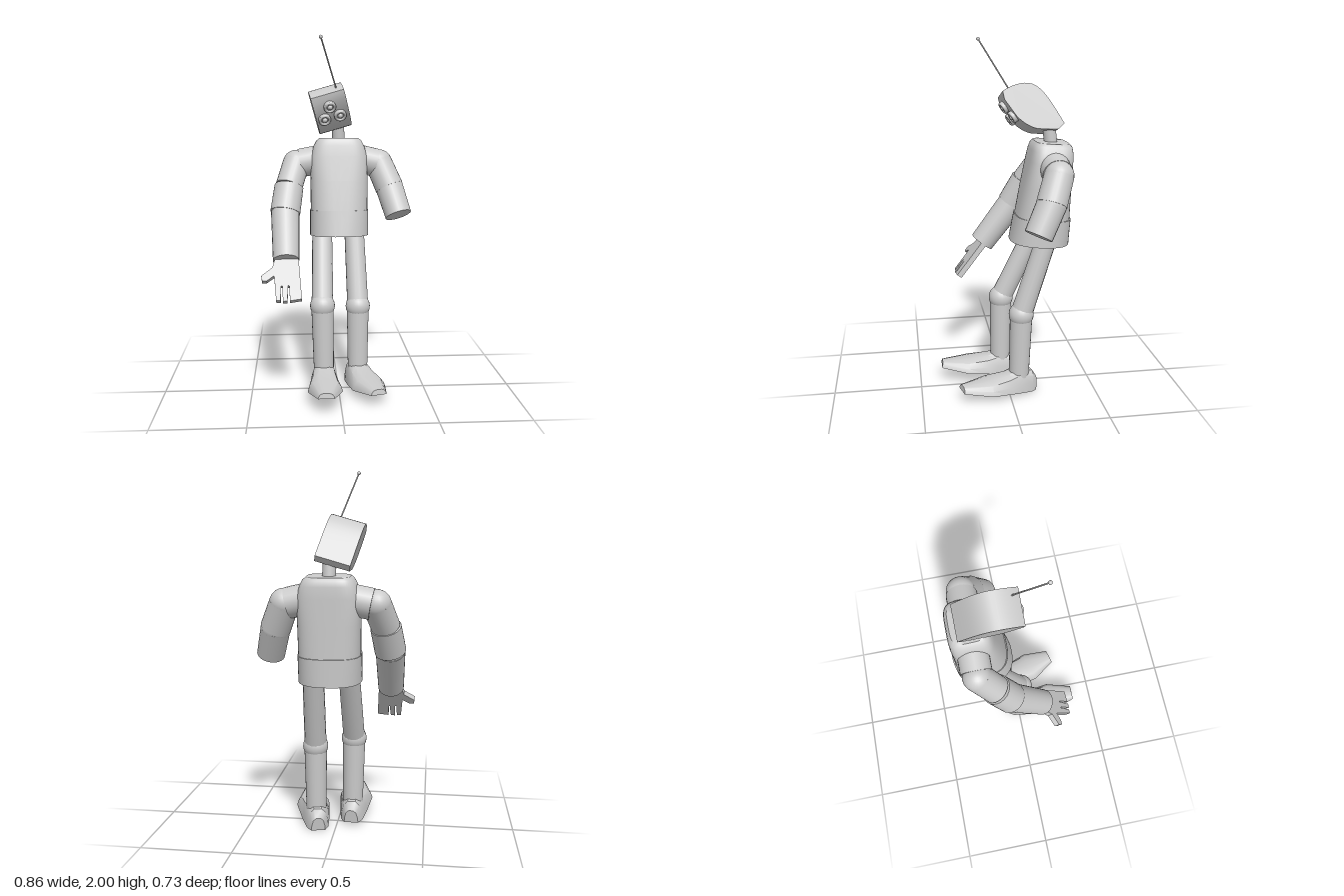
import * as THREE from 'three';
import { toCreasedNormals } from 'three/addons/utils/BufferGeometryUtils.js';

const V = (x, y, z) => new THREE.Vector3(x, y, z);
const material = new THREE.MeshStandardMaterial({ color: 0xcccccc });

function add(parent, name, geometry) {
  const mesh = new THREE.Mesh(geometry, material);
  mesh.name = name;
  parent.add(mesh);
  return mesh;
}

function group(parent, name) {
  const g = new THREE.Group();
  g.name = name;
  parent.add(g);
  return g;
}

// Tapered cylinder running from a to b
function limb(parent, name, a, b, ra, rb = ra, sides = 24) {
  const dir = b.clone().sub(a);
  const mesh = add(parent, name, new THREE.CylinderGeometry(rb, ra, dir.length(), sides));
  mesh.position.copy(a).add(b).multiplyScalar(0.5);
  mesh.quaternion.setFromUnitVectors(V(0, 1, 0), dir.normalize());
  return mesh;
}

function ball(parent, name, at, r) {
  const mesh = add(parent, name, new THREE.SphereGeometry(r, 24, 16));
  mesh.position.copy(at);
  return mesh;
}

// Closed skin over a stack of rings with equal point counts
function loft(rings, crease) {
  const n = rings[0].length, pos = [], index = [];
  rings.forEach(r => r.forEach(p => pos.push(p.x, p.y, p.z)));
  for (let i = 0; i < rings.length - 1; i++) for (let j = 0; j < n; j++) {
    const a = i * n + j, b = i * n + (j + 1) % n;
    index.push(a, a + n, b, b, a + n, b + n);
  }
  [0, rings.length - 1].forEach((ri, end) => {
    const c = rings[ri].reduce((s, p) => s.add(p), V(0, 0, 0)).divideScalar(n);
    const ci = pos.length / 3;
    pos.push(c.x, c.y, c.z);
    for (let j = 0; j < n; j++) {
      const a = ri * n + j, b = ri * n + (j + 1) % n;
      index.push(ci, end ? b : a, end ? a : b);
    }
  });
  const g = new THREE.BufferGeometry();
  g.setAttribute('position', new THREE.Float32BufferAttribute(pos, 3));
  g.setIndex(index);
  return toCreasedNormals(g, crease);
}

// Rounded-rectangle ring; e is the squareness, the ring tips slightly back
function torsoRing([y, zc, hx, hz, e]) {
  const round = v => Math.sign(v) * Math.abs(v) ** (2 / e);
  return Array.from({ length: 48 }, (_, j) => {
    const t = j / 48 * Math.PI * 2, z = round(Math.sin(t)) * hz;
    return V(0.015 + round(Math.cos(t)) * hx, y + z * 0.07, zc + z);
  });
}

function buildTorso(root) {
  const torso = group(root, 'torso');
  add(torso, 'chest', loft([
    [1.0, -0.2, 0.166, 0.151, 2.8], [1.2, -0.222, 0.167, 0.133, 3.2],
    [1.34, -0.24, 0.166, 0.119, 3.8], [1.4, -0.247, 0.148, 0.113, 4],
    [1.43, -0.25, 0.132, 0.106, 4], [1.445, -0.25, 0.115, 0.092, 4],
  ].map(torsoRing), 0.7));
  add(torso, 'waist', loft([
    [0.883, -0.186, 0.171, 0.167, 2.4], [1.03, -0.204, 0.17, 0.155, 2.8],
  ].map(torsoRing), 0.7));
  limb(torso, 'neck', V(0.015, 1.42, -0.25), V(0.01, 1.56, -0.235), 0.036, 0.036);
}

function buildHead(root) {
  const head = group(root, 'head');
  head.position.set(-0.04, 1.62, 0);
  head.rotation.z = 0.28;

  // Side profile as (z, y), extruded across the head
  const shape = new THREE.Shape();
  shape.moveTo(0.02, 0.08);
  shape.quadraticCurveTo(-0.04, 0.118, -0.1, 0.122);
  shape.bezierCurveTo(-0.18, 0.125, -0.22, 0.06, -0.31, -0.1);
  shape.lineTo(-0.275, -0.13);
  shape.quadraticCurveTo(-0.22, -0.13, -0.16, -0.125);
  shape.quadraticCurveTo(-0.1, -0.11, -0.05, -0.055);
  shape.lineTo(0.012, 0.035);
  const skull = new THREE.ExtrudeGeometry(shape, { depth: 0.19, bevelEnabled: false, curveSegments: 10 });
  skull.translate(0, 0, -0.095).rotateY(-Math.PI / 2);
  add(head, 'skull', toCreasedNormals(skull, 0.5));

  // Three round eyes with rims
  [[-0.005, 0.012, -0.002], [-0.05, -0.048, -0.043], [0.04, -0.048, -0.043]].forEach(([x, y, z]) => {
    const eye = group(head, 'eye');
    eye.position.set(x, y, z);
    eye.rotation.x = 0.6;
    limb(eye, 'eyeSocket', V(0, 0, -0.02), V(0, 0, 0.012), 0.034);
    add(eye, 'eyeRim', new THREE.TorusGeometry(0.027, 0.008, 10, 28)).position.z = 0.012;
    ball(eye, 'eyeball', V(0, 0, 0.01), 0.015);
  });

  const antenna = group(root, 'antenna');
  const tip = V(-0.1, 1.99, 0.135);
  limb(antenna, 'antennaRod', V(-0.005, 1.71, -0.03), tip, 0.004, 0.004, 8);
  ball(antenna, 'antennaTip', tip, 0.01);
}

function buildRightArm(root) {
  const arm = group(root, 'rightArm');
  const shoulder = V(-0.235, 1.3, -0.245), sleeve = V(-0.278, 1.17, -0.16);
  const elbow = V(-0.3, 1.03, -0.085), wrist = V(-0.295, 0.79, 0.1);
  limb(arm, 'shoulder', V(-0.11, 1.32, -0.245), V(-0.21, 1.3, -0.245), 0.084);
  ball(arm, 'shoulderBall', shoulder, 0.078);
  limb(arm, 'upperArm', shoulder, sleeve, 0.078);
  limb(arm, 'elbowSleeve', sleeve, elbow, 0.084, 0.086);
  ball(arm, 'elbow', elbow, 0.079);
  limb(arm, 'forearm', elbow, wrist, 0.081, 0.073);

  // Flat hand with thumb and split fingers
  const outline = [
    [-0.06, 0.03], [-0.08, -0.05], [-0.14, -0.1], [-0.135, -0.13], [-0.11, -0.13], [-0.07, -0.1],
    [-0.065, -0.16], [-0.058, -0.245], [-0.034, -0.245], [-0.033, -0.16], [-0.025, -0.16],
    [-0.022, -0.25], [0.002, -0.25], [0.006, -0.16], [0.012, -0.16], [0.016, -0.248],
    [0.08, -0.238], [0.062, 0.03],
  ].map(p => new THREE.Vector2(...p));
  const hand = add(arm, 'hand', new THREE.ExtrudeGeometry(new THREE.Shape(outline),
    { depth: 0.032, bevelEnabled: false }).translate(0, 0, -0.016));
  hand.position.set(-0.29, 0.79, 0.1);
  hand.rotation.x = -0.67;
}

function buildLeftArm(root) {
  const arm = group(root, 'leftArm');
  const shoulder = V(0.253, 1.3, -0.245), elbow = V(0.312, 1.16, -0.195);
  limb(arm, 'shoulder', V(0.13, 1.325, -0.245), V(0.235, 1.3, -0.245), 0.084);
  ball(arm, 'shoulderBall', shoulder, 0.08);
  limb(arm, 'upperArm', shoulder, elbow, 0.08, 0.083);
  ball(arm, 'elbow', elbow, 0.081);
  limb(arm, 'forearmStump', elbow, V(0.357, 1.005, -0.118), 0.081, 0.077);
}

// Foot cross-sections along z: z, half width, height
const footSections = [
  [-0.095, 0.04, 0.075], [-0.06, 0.062, 0.115], [0.03, 0.078, 0.125],
  [0.09, 0.085, 0.095], [0.2, 0.098, 0.065], [0.355, 0.045, 0.03],
];

function buildLeg(root, side, hip, knee, ankle, sole, yaw) {
  const leg = group(root, side + 'Leg');
  limb(leg, 'thigh', hip, knee, 0.058, 0.062, 16);
  ball(leg, 'knee', knee, 0.071);
  limb(leg, 'shin', knee, ankle, 0.064, 0.057);
  const foot = add(leg, 'foot', loft(footSections.map(([z, w, h]) => [
    V(w, 0, z), V(-w, 0, z), V(-w * 0.92, h * 0.4, z), V(-w * 0.72, h * 0.8, z),
    V(-w * 0.35, h, z), V(w * 0.35, h, z), V(w * 0.72, h * 0.8, z), V(w * 0.92, h * 0.4, z),
  ]), 0.6));
  foot.position.set(ankle.x, sole, ankle.z);
  foot.rotation.set(-0.15, yaw, 0, 'YXZ');
}

export function createModel() {
  const root = new THREE.Group();
  root.name = 'robot';
  buildTorso(root);
  buildHead(root);
  buildRightArm(root);
  buildLeftArm(root);
  buildLeg(root, 'right', V(-0.085, 0.93, -0.19), V(-0.092, 0.505, 0.015), V(-0.085, 0.1, 0.022), 0.04, 0);
  buildLeg(root, 'left', V(0.105, 0.93, -0.22), V(0.118, 0.475, -0.072), V(0.117, 0.08, -0.06), 0.016, 0.26);
  return root;
}
